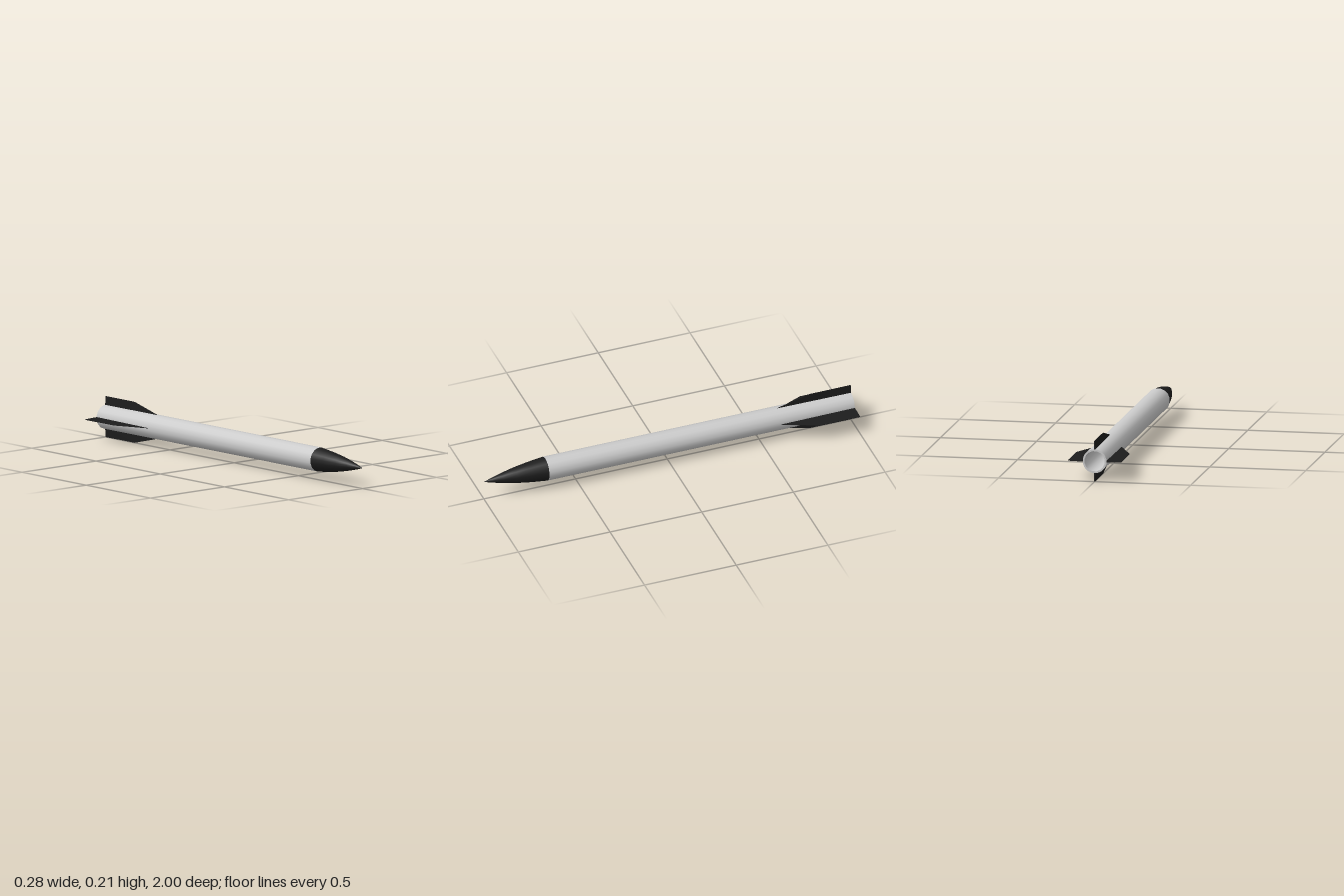
import * as THREE from 'three';

const SIDES = 16, R = 0.0625, INNER = 0.053, CENTER_Y = 0.106;
const TAIL = -1, SHOULDER = 0.665, TIP = 1;

const grey = new THREE.MeshStandardMaterial({ color: 0xcccccc });
const black = new THREE.MeshStandardMaterial({ color: 0x1c1c1c });

// Surface of revolution about z from [radius, z] points
function turned(name, points, material) {
  const profile = points.map(([r, z]) => new THREE.Vector2(r, z));
  const geo = new THREE.LatheGeometry(profile, SIDES, Math.PI / SIDES);
  geo.rotateX(Math.PI / 2);
  const mesh = new THREE.Mesh(geo, material);
  mesh.name = name;
  return mesh;
}

// Swept fin, thin at the leading edge and the tip, thickest at the root's rear
function makeFin(span, name) {
  const rootFront = -0.6, tipFront = -0.775, inside = R - 0.006;
  const shape = new THREE.Shape();
  shape.moveTo(inside, TAIL);
  shape.lineTo(span, TAIL);
  shape.lineTo(span, tipFront);
  shape.lineTo(R, rootFront);
  shape.lineTo(inside, rootFront);
  const geo = new THREE.ExtrudeGeometry(shape, { depth: 1, bevelEnabled: false });
  const pos = geo.attributes.position;
  for (let i = 0; i < pos.count; i++) {
    const out = Math.max(0, (pos.getX(i) - R) / (span - R));
    const front = THREE.MathUtils.lerp(rootFront, tipFront, out);
    const back = (front - pos.getY(i)) / (front - TAIL);
    const thickness = 0.0015 + back * THREE.MathUtils.lerp(0.0075, 0.002, out);
    pos.setZ(i, (pos.getZ(i) - 0.5) * thickness);
  }
  geo.rotateX(Math.PI / 2);
  geo.computeVertexNormals();
  const fin = new THREE.Mesh(geo, black);
  fin.name = name;
  return fin;
}

export function createModel() {
  const model = new THREE.Group();
  model.name = 'rocket';

  // Hollow body tube: outer skin, tail rim and inner wall
  const body = new THREE.Group();
  body.name = 'bodyTube';
  body.add(
    turned('outerSkin', [[R, TAIL], [R, SHOULDER]], grey),
    turned('tailRim', [[INNER, TAIL], [R, TAIL]], grey),
    turned('innerWall', [[INNER, SHOULDER], [INNER, TAIL]], grey),
    turned('innerEnd', [[0, SHOULDER], [INNER, SHOULDER]], grey)
  );
  model.add(body);

  // Pointed nose with gently curved sides
  model.add(turned('noseCone', [
    [R, SHOULDER], [0.053, 0.75], [0.041, 0.83], [0.0265, 0.9], [0.013, 0.955], [0, TIP]
  ], black));

  // Wide side fins and shorter upright fins
  const names = ['leftFin', 'topFin', 'rightFin', 'bottomFin'];
  names.forEach((name, i) => {
    const fin = makeFin(i % 2 ? 0.106 : 0.138, name);
    fin.rotation.z = i * Math.PI / 2;
    model.add(fin);
  });

  model.children.forEach((part) => { part.position.y = CENTER_Y; });
  return model;
}
